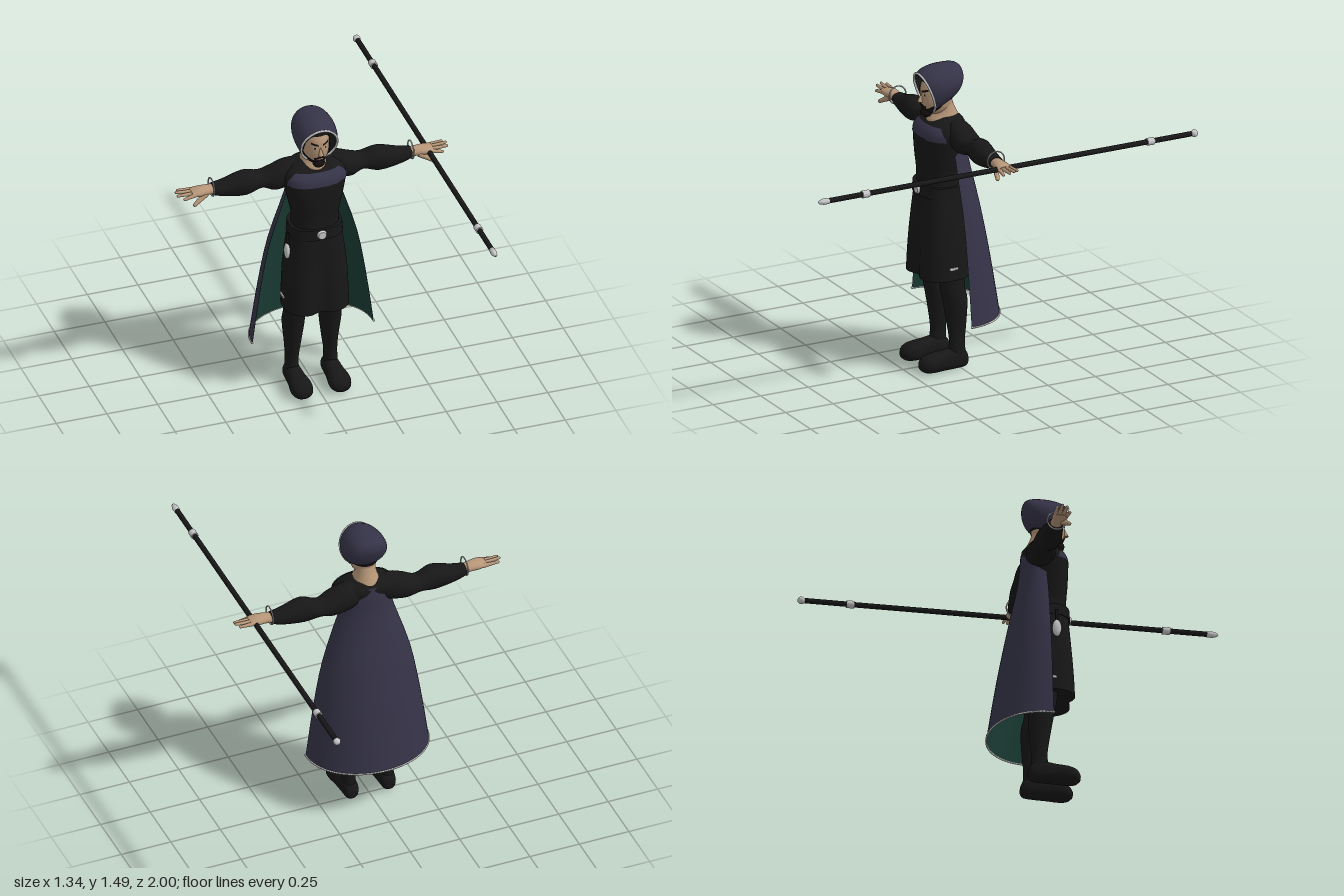
import * as THREE from 'three';

const mat = (name, color, side = THREE.FrontSide) => {
  const m = new THREE.MeshStandardMaterial({ color, side });
  m.name = name;
  return m;
};
const V = (x, y, z) => new THREE.Vector3(x, y, z);
const lerp = THREE.MathUtils.lerp;

export function createModel() {
  const black = mat('black cloth', 0x181717), navy = mat('navy cloth', 0x353347, THREE.DoubleSide);
  const green = mat('green lining', 0x1b3d35, THREE.DoubleSide), skin = mat('skin', 0xb69678);
  const silver = mat('silver', 0xc6c6c8);
  const hairMat = mat('dark hair', 0x14110f, THREE.DoubleSide);
  const white = mat('eye white', 0xcfc8be, THREE.DoubleSide);
  const model = new THREE.Group();
  model.name = 'cloakedFigure';

  const add = (name, geo, material, parent = model, pos) => {
    const m = new THREE.Mesh(geo, material);
    m.name = name;
    if (pos) m.position.set(...pos);
    parent.add(m);
    return m;
  };

  // Surface through rows of points; closed rows may get flat end caps
  const loft = (rows, { closed = true, caps = closed, flip = false } = {}) => {
    const n = rows[0].length, pts = rows.flat(), idx = [];
    const tri = (a, b, c) => (flip ? idx.push(a, c, b) : idx.push(a, b, c));
    for (let r = 0; r < rows.length - 1; r++)
      for (let i = 0; i < (closed ? n : n - 1); i++) {
        const j = (i + 1) % n, a = r * n, b = a + n;
        tri(a + i, a + j, b + j);
        tri(a + i, b + j, b + i);
      }
    if (caps) [rows[0], rows[rows.length - 1]].forEach((row, e) => {
      const s = pts.length, mid = V(0, 0, 0);
      row.forEach(p => mid.addScaledVector(p, 1 / n));
      pts.push(...row, mid);
      for (let i = 0; i < n; i++) {
        const j = (i + 1) % n;
        if (e) tri(s + i, s + j, s + n); else tri(s + j, s + i, s + n);
      }
    });
    const g = new THREE.BufferGeometry().setFromPoints(pts);
    g.setIndex(idx);
    g.computeVertexNormals();
    return g;
  };
  const ring = (n, f) => Array.from({ length: n }, (_, i) => f((i / n) * Math.PI * 2));
  const arc = (n, a, b, f) => Array.from({ length: n + 1 }, (_, i) => f(lerp(a, b, i / n)));
  const bend = (v, p) => Math.sign(v) * Math.abs(v) ** p;
  // Smoothly resample a short table of section values with a spline
  const smooth = (table, steps) => {
    const out = [], at = i => table[Math.min(Math.max(i, 0), table.length - 1)];
    for (let i = 0; i < table.length - 1; i++)
      for (let s = 0; s < steps; s++) {
        const u = s / steps;
        out.push(table[i].map((b, k) => {
          const a = at(i - 1)[k], c = at(i + 1)[k], d = at(i + 2)[k];
          return b + 0.5 * u * (c - a + u * (2 * a - 5 * b + 4 * c - d + u * (3 * (b - c) + d - a)));
        }));
      }
    return [...out, at(table.length - 1)];
  };
  // Point on an upright section [y, half width, front z, back z]
  const bodyPoint = ([y, rx, f, b], t, p = 1, o = 0) =>
    V((rx + o) * bend(Math.sin(t), p), y, (f + b) / 2 + ((f - b) / 2 + o) * bend(Math.cos(t), p));
  const body = (table, p = 1) => loft(table.map(s => ring(40, t => bodyPoint(s, t, p))));

  // Tunic, skirt and belt
  const torso = smooth([[0.84, 0.12, 0.164, -0.03], [0.95, 0.112, 0.158, -0.02], [1.05, 0.131, 0.164, -0.025],
    [1.146, 0.15, 0.164, -0.041], [1.19, 0.146, 0.148, -0.05], [1.222, 0.108, 0.11, -0.045], [1.24, 0.07, 0.078, -0.02]], 4);
  add('tunic', body(torso, 0.85), black);
  // The skirt front dips between the thighs towards the hem
  const skirt = [[0.46, 0.158, 0.2, -0.06], [0.56, 0.155, 0.195, -0.058], [0.66, 0.151, 0.187, -0.054],
    [0.76, 0.14, 0.178, -0.048], [0.86, 0.127, 0.168, -0.04]];
  add('skirt', loft(skirt.map(s => ring(64, t => {
    const p = bodyPoint(s, t, 0.78);
    if (p.z > 0) p.z -= 0.03 * (0.86 - s[0]) / 0.4 * Math.exp(-((p.x / 0.045) ** 2));
    return p;
  }))), black);
  add('belt', body([[0.858, 0.131, 0.175, -0.045], [0.912, 0.127, 0.172, -0.042]], 0.78), black);
  const buckle = add('buckle', new THREE.CylinderGeometry(0.019, 0.024, 0.012, 20), silver, model, [0, 0.886, 0.178]);
  buckle.rotation.x = Math.PI / 2;
  // Navy yoke, narrowing towards the neck
  const yokeRows = torso.filter(s => s[0] > 1.145 && s[0] < 1.212);
  add('yoke', loft(yokeRows.map((s, i) => {
    const a = lerp(1.3, 0.85, i / (yokeRows.length - 1));
    return arc(24, -a, a, t => bodyPoint(s, t, 0.85, 0.004));
  }), { closed: false }), navy);
  for (const s of [-1, 1])
    add('skirtClasp', new THREE.BoxGeometry(0.008, 0.011, 0.045), silver, model, [s * 0.158, 0.52, 0.065]);

  // Ornament hanging at the right hip
  const charm = add('hipOrnament', new THREE.SphereGeometry(1, 14, 10), silver, model, [-0.144, 0.778, 0.09]);
  charm.scale.set(0.014, 0.042, 0.022);
  add('hipStrap', new THREE.CylinderGeometry(0.006, 0.006, 0.07, 8), black, model, [-0.14, 0.84, 0.09]);

  // Cloak: navy outside, green inside, silver hem
  const cloak = smooth([[0.27, 0.3, 0.045, -0.21], [0.55, 0.262, 0.045, -0.165], [0.8, 0.216, 0.045, -0.118],
    [1.05, 0.138, 0.045, -0.066], [1.15, 0.108, 0.02, -0.056], [1.222, 0.062, 0, -0.048]], 3);
  const cloakRows = inset => cloak.map(([y, w, f, b]) => arc(36, -Math.PI / 2, Math.PI / 2,
    t => V((inset - w) * Math.sin(t), y, f - (f - b - inset) * Math.max(0, Math.cos(t)) ** 0.9)));
  const outerRows = cloakRows(0);
  add('cloakOutside', loft(outerRows, { closed: false }), navy);
  add('cloakLining', loft(cloakRows(0.003), { closed: false, flip: true }), green);
  add('cloakHem', new THREE.TubeGeometry(new THREE.CatmullRomCurve3(outerRows[0]), 60, 0.0045, 6), silver);
  for (const s of [-1, 1])
    add('hemBead', new THREE.SphereGeometry(0.006, 10, 8), silver, model, [s * 0.3, 0.272, 0.045]);

  // Neck and head
  add('neck', body(smooth([[1.19, 0.08, 0.12, -0.046], [1.222, 0.068, 0.12, -0.04], [1.255, 0.054, 0.1, -0.024],
    [1.29, 0.048, 0.095, -0.008], [1.34, 0.047, 0.1, 0.005]], 3)), skin);
  const headPoint = (t, y, o = 0) => {
    const v = Math.min(1, Math.abs(y - 1.348) / 0.1), k = (1 - v ** 2.5) ** (1 / 2.5);
    return V((0.064 * k + o) * Math.sin(t), y, 0.075 + (0.08 * k + o) * Math.cos(t));
  };
  add('head', loft(arc(24, -Math.PI / 2, Math.PI / 2, a => ring(32, t => headPoint(t, 1.348 + 0.1 * Math.sin(a)))), { caps: false }), skin);
  const facePatch = (name, m, a, b, low, high, o) => add(name, loft(arc(5, 0, 1, v =>
    arc(24, a, b, t => headPoint(t, lerp(low(t), high(t), v), o))), { closed: false }), m);
  facePatch('beard', hairMat, -1.5, 1.5, t => 1.25 + 0.022 * t * t, t => 1.281 + 0.024 * t * t, 0.006);
  facePatch('moustache', hairMat, -0.38, 0.38, t => 1.299 - 0.1 * t * t, t => 1.31 - 0.08 * t * t, 0.005);
  facePatch('hair', hairMat, -Math.PI, Math.PI, t => 1.414 - 0.09 * Math.min(1, Math.abs(t) / 1.3) ** 4, () => 1.448, 0.004);
  const chin = add('chinBeard', new THREE.SphereGeometry(1, 16, 12), hairMat, model, [0, 1.262, 0.128]);
  chin.scale.set(0.03, 0.025, 0.026);
  for (const s of [-1, 1]) {
    const c = s * 0.42;
    facePatch('moustacheEnd', hairMat, s * 0.4 - 0.06, s * 0.4 + 0.06, () => 1.272, () => 1.302, 0.004);
    facePatch('eyebrow', hairMat, c - 0.27, c + 0.27, t => 1.364 + 0.016 * Math.abs(t), t => 1.374 + 0.016 * Math.abs(t), 0.004);
    facePatch('eye', white, c - 0.14, c + 0.14, t => 1.351 + 0.15 * (t - c) ** 2, t => 1.358 - 0.15 * (t - c) ** 2, 0.002);
    facePatch('iris', hairMat, c - 0.07, c + 0.07, () => 1.351, () => 1.359, 0.003);
  }
  const nose = add('nose', new THREE.ConeGeometry(0.013, 0.05, 10), skin, model, [0, 1.341, 0.156]);
  nose.rotation.x = -0.22;
  add('noseTip', new THREE.SphereGeometry(0.01, 12, 8), skin, model, [0, 1.323, 0.16]);

  // Hood: rings [top z, top y, bottom z, bottom y, half width] from the opening backwards
  const hoodTable = smooth([[0.168, 1.455, 0.106, 1.264, 0.088], [0.13, 1.477, 0.085, 1.276, 0.099], [0.07, 1.488, 0.052, 1.296, 0.103],
    [0.01, 1.488, 0.018, 1.318, 0.097], [-0.025, 1.482, -0.012, 1.342, 0.082], [-0.043, 1.465, -0.034, 1.378, 0.054], [-0.05, 1.428, -0.05, 1.426, 0.001]], 3);
  const hoodRings = inset => hoodTable.map(([tz, ty, bz, by, w]) => ring(36, t => {
    const k = 1 - inset, u = (1 + k * Math.cos(t)) / 2;
    return V(w * k * Math.sin(t), lerp(by, ty, u), lerp(bz, tz, u) + inset * 0.1);
  }));
  const hoodOuter = hoodRings(0);
  add('hoodOutside', loft(hoodOuter, { caps: false }), navy);
  add('hoodLining', loft(hoodRings(0.035), { caps: false, flip: true }), black);
  add('hoodTrim', new THREE.TubeGeometry(new THREE.CatmullRomCurve3(hoodOuter[0], true), 72, 0.0055, 8, true), silver);

  // Limbs, laid out once and mirrored by the sign of x
  const rod = (name, a, b, r0, r1, m, parent) => {
    const d = b.clone().sub(a), g = new THREE.CylinderGeometry(r1, r0, d.length(), 10);
    const mesh = add(name, g, m, parent, a.clone().add(b).multiplyScalar(0.5).toArray());
    mesh.quaternion.setFromUnitVectors(V(0, 1, 0), d.normalize());
    add(name + 'Tip', new THREE.SphereGeometry(r1, 10, 8), m, parent, b.toArray());
  };
  const buildSide = (side, sx) => {
    const g = new THREE.Group();
    g.name = side + 'Limbs';
    const alongX = table => loft(table.map(([x, y, ry, z, rz]) =>
      ring(28, t => V(sx * x, y + ry * Math.cos(t), z + rz * Math.sin(t)))), { flip: sx < 0 });
    add('sleeve', alongX(smooth([[0.07, 1.175, 0.062, 0.015, 0.058], [0.13, 1.165, 0.068, 0.015, 0.066], [0.19, 1.151, 0.06, 0.014, 0.064],
      [0.25, 1.15, 0.04, 0.006, 0.054], [0.33, 1.153, 0.062, 0.017, 0.057], [0.43, 1.146, 0.042, 0.017, 0.045], [0.49, 1.15, 0.027, 0.017, 0.035]], 4)), black, g);
    const cuff = add('bracelet', new THREE.TorusGeometry(0.044, 0.0035, 8, 32), silver, g, [sx * 0.492, 1.163, 0.02]);
    cuff.rotation.y = Math.PI / 2;
    add('palm', alongX(smooth([[0.48, 1.151, 0.022, 0.018, 0.028], [0.52, 1.154, 0.023, 0.022, 0.031],
      [0.56, 1.155, 0.021, 0.024, 0.037], [0.595, 1.156, 0.011, 0.024, 0.034]], 3)), skin, g);
    [[0.635, 1.143, 0.055], [0.662, 1.158, 0.037], [0.664, 1.164, 0.015], [0.65, 1.16, -0.007]].forEach(([x, y, z]) =>
      rod('finger', V(sx * 0.575, 1.155, 0.024 + (z - 0.024) * 0.85), V(sx * x, y, z), 0.011, 0.007, skin, g));
    rod('thumb', V(sx * 0.525, 1.145, 0.04), V(sx * 0.588, 1.108, 0.062), 0.016, 0.009, skin, g);

    const leg = smooth([[0.07, 0.034, 0.062, -0.026, 0.096], [0.14, 0.032, 0.055, -0.022, 0.095], [0.22, 0.039, 0.065, -0.03, 0.092],
      [0.34, 0.053, 0.085, -0.035, 0.091], [0.42, 0.05, 0.1, -0.02, 0.09], [0.54, 0.056, 0.11, -0.02, 0.088]], 4);
    add('leg', loft(leg.map(s => ring(28, t => bodyPoint(s, t).add(V(sx * s[4], 0, 0))))), black, g);
    // Boot sections: z, half width, bottom, top
    const boot = smooth([[-0.036, 0.018, 0.02, 0.06], [-0.02, 0.034, 0.004, 0.09], [0.03, 0.039, 0, 0.106], [0.09, 0.044, 0, 0.098],
      [0.15, 0.053, 0, 0.09], [0.19, 0.044, 0.006, 0.076], [0.21, 0.018, 0.022, 0.052]], 3);
    add('boot', loft(boot.map(([z, w, lo, hi]) => ring(28, t =>
      V(sx * 0.094 - w * Math.sin(t), (lo + hi) / 2 + (hi - lo) / 2 * bend(Math.cos(t), 0.8), z)))), black, g);
    model.add(g);
  };
  buildSide('left', 1);
  buildSide('right', -1);

  // Staff lying along z through the left hand
  const staff = new THREE.Group();
  staff.name = 'staff';
  staff.position.set(0.572, 1.15, 0);
  staff.rotation.x = Math.PI / 2;
  add('shaft', new THREE.CylinderGeometry(0.0125, 0.0125, 1.93, 16), black, staff);
  for (const s of [-0.75, 0.75])
    add('collar', new THREE.CylinderGeometry(0.018, 0.018, 0.036, 16), silver, staff, [0, s, 0]);
  const tip = [[0, -0.026], [0.014, -0.026], [0.015, 0], [0.009, 0.022], [0, 0.03]].map(p => new THREE.Vector2(...p));
  add('pointedTip', new THREE.LatheGeometry(tip, 16), silver, staff, [0, 0.97, 0]);
  add('roundEnd', new THREE.SphereGeometry(0.018, 16, 12), silver, staff, [0, -0.982, 0]);
  model.add(staff);
  return model;
}
